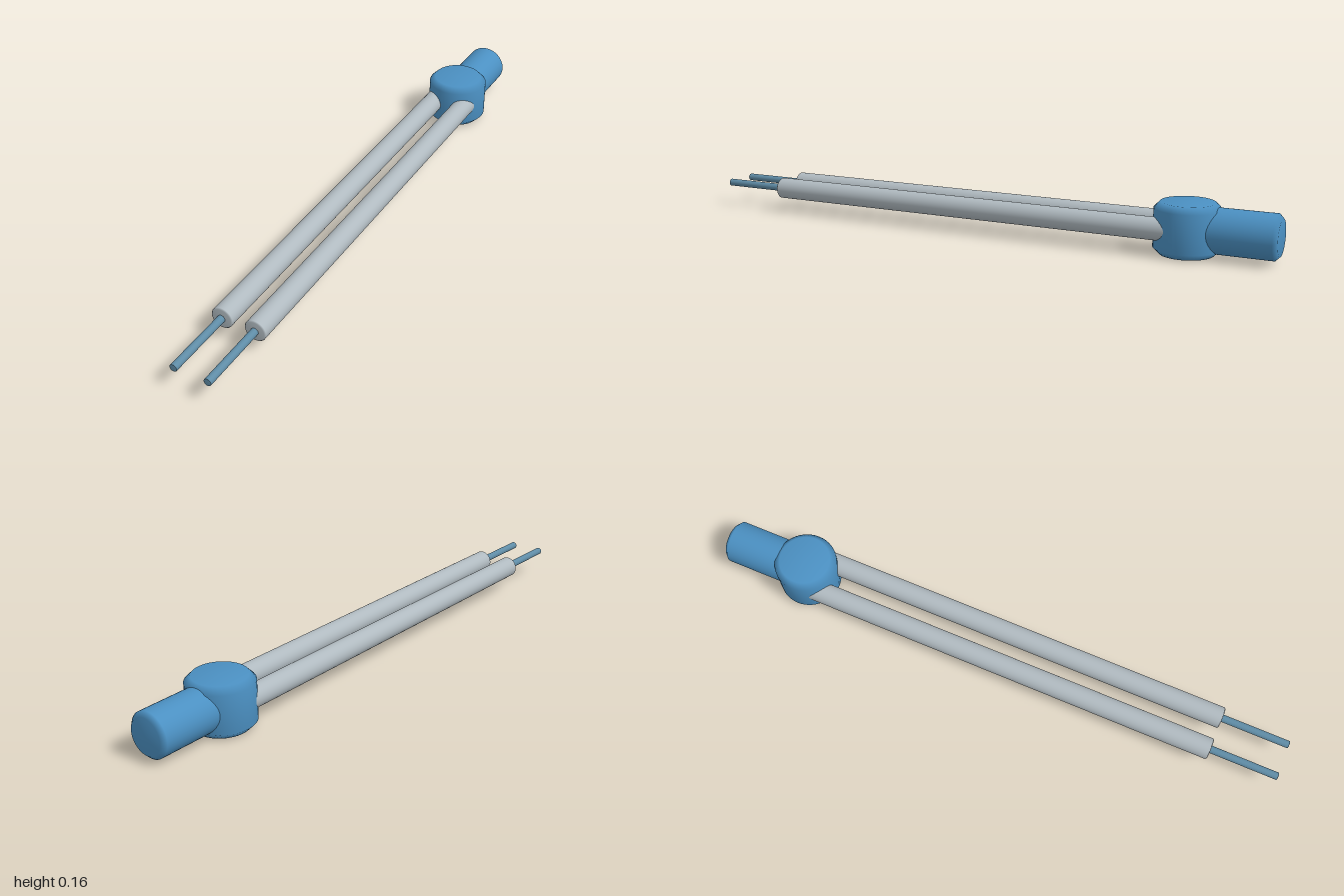
import * as THREE from 'three';

const AXIS_Y = 0.082;
const HUB_Z = -0.713;

const paint = (color) => new THREE.MeshStandardMaterial({ color });

// Solid round bar standing on y = 0, with chamfered ends of the given sizes
function roundBar(name, radius, length, bottomBevel, topBevel, material) {
  const profile = [
    [0, 0], [radius - bottomBevel, 0], [radius, bottomBevel],
    [radius, length - topBevel], [radius - topBevel, length], [0, length],
  ].map(([x, y]) => new THREE.Vector2(x, y));
  const mesh = new THREE.Mesh(new THREE.LatheGeometry(profile, 48), material);
  mesh.name = name;
  return mesh;
}

// Lay a bar along z, starting at z and pointing forward (1) or back (-1)
function lay(bar, x, z, direction) {
  bar.rotation.x = direction * Math.PI / 2;
  bar.position.set(x, AXIS_Y, z);
  return bar;
}

export function createModel() {
  const model = new THREE.Group();
  model.name = 'twoWireProbe';
  const blue = paint(0x4b90c2);
  const grey = paint(0xb0bac0);
  const steel = paint(0x5f8ca6);

  // Upright drum with chamfered rims
  const hub = roundBar('hub', 0.105, 0.164, 0.02, 0.02, blue);
  hub.position.z = HUB_Z;
  model.add(hub);

  // Round tip pointing backwards out of the drum
  model.add(lay(roundBar('tip', 0.072, 1 + HUB_Z, 0.003, 0.014, blue), 0, HUB_Z, -1));

  // Pair of insulated leads with bare ends
  for (const side of [-1, 1]) {
    const lead = new THREE.Group();
    lead.name = side > 0 ? 'leftLead' : 'rightLead';
    lead.add(
      lay(roundBar('insulation', 0.036, 0.77 - HUB_Z, 0.003, 0.004, grey), side * 0.057, HUB_Z, 1),
      lay(roundBar('bareWire', 0.0125, 0.3, 0.001, 0.001, steel), side * 0.057, 0.7, 1),
    );
    model.add(lead);
  }
  return model;
}
